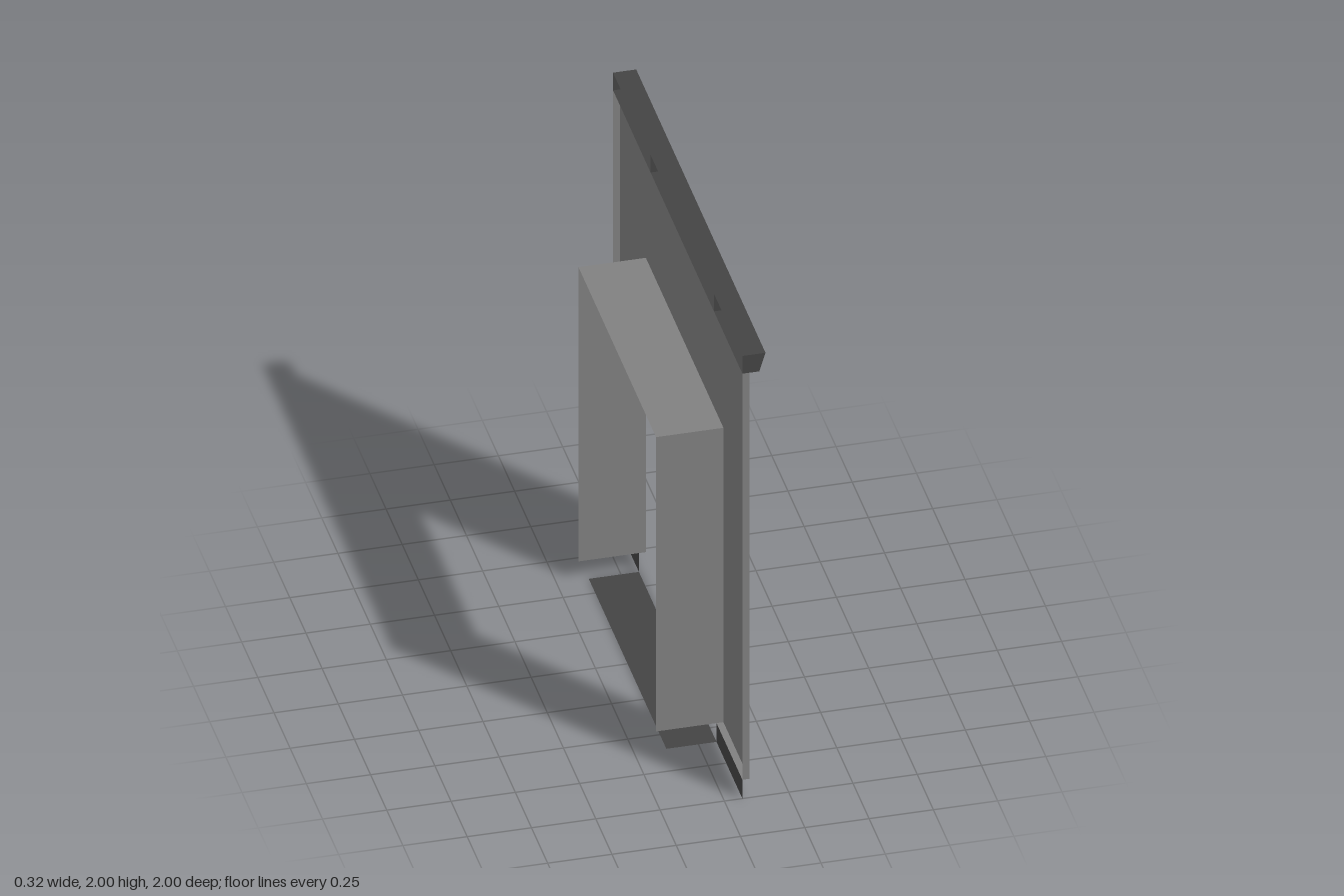
import * as THREE from 'three';

const BACK = 0.07, FACE = 0.097, LIP = 0.16;   // x of shell back, wall face, cornice tip
const REAR = -0.165;                           // x of the reveal's rear edge
const FOOT = 0.085, HEAD = 1.415, CAP = 1.92;  // heights
const HALF = 1, JAMB = 0.6;                    // half widths along z

// Sweeps an open path of [x, y] points along z as a thin sheet.
function sweep(path, z0, z1) {
  const pos = [];
  for (let i = 0; i < path.length - 1; i++) {
    const [ax, ay] = path[i], [bx, by] = path[i + 1];
    pos.push(ax, ay, z0, bx, by, z0, bx, by, z1, ax, ay, z0, bx, by, z1, ax, ay, z1);
  }
  const geo = new THREE.BufferGeometry();
  geo.setAttribute('position', new THREE.Float32BufferAttribute(pos, 3));
  geo.computeVertexNormals();
  return geo;
}

// Sweeps a path of [z, y] points along x.
const sweepX = (path, x0, x1) =>
  sweep(path.map(([z, y]) => [-z, y]), x0, x1).rotateY(Math.PI / 2);

const polygon = (points) =>
  new THREE.ShapeGeometry(new THREE.Shape(points.map(([x, y]) => new THREE.Vector2(x, y))));

export function createModel() {
  const wallGrey = new THREE.MeshStandardMaterial({ color: 0x808080, side: THREE.DoubleSide });
  wallGrey.name = 'wall grey';
  const trimDark = new THREE.MeshStandardMaterial({ color: 0x444444, side: THREE.DoubleSide });
  trimDark.name = 'dark trim';

  const model = new THREE.Group();
  model.name = 'doorwayWall';
  const add = (name, geo, mat) => {
    const mesh = new THREE.Mesh(geo, mat);
    mesh.name = name;
    model.add(mesh);
    return mesh;
  };

  // Wall face around the opening
  add('wallFace', polygon([
    [-HALF, FOOT], [-JAMB, FOOT], [-JAMB, HEAD], [JAMB, HEAD],
    [JAMB, FOOT], [HALF, FOOT], [HALF, CAP], [-HALF, CAP],
  ]).rotateY(Math.PI / 2).translate(FACE, 0, 0), wallGrey);

  // Deep lining of the opening
  add('doorReveal', sweepX(
    [[JAMB, FOOT], [JAMB, HEAD], [-JAMB, HEAD], [-JAMB, FOOT]], REAR, FACE), wallGrey);

  // Edge returns and recessed skirting, mirrored on both legs
  for (const s of [1, -1]) {
    add('wallEdge', sweepX(
      [[s * HALF, CAP], [s * HALF, FOOT], [s * JAMB, FOOT]], BACK, FACE), wallGrey);
    add('skirting', sweep([[BACK, 0], [BACK, FOOT]], s * JAMB, s * HALF), trimDark);
  }

  // Threshold plate on the ground
  add('threshold', sweep([[-0.125, 0], [BACK, 0]], -JAMB, JAMB), trimDark);

  // Hollow cornice, open at the back, with end caps and inner ribs
  const section = [[BACK, 2], [LIP, 2], [0.136, CAP], [BACK, CAP]];
  add('cornice', sweep(section, -HALF, HALF), trimDark);
  for (const z of [-HALF, -0.42, 0.56, HALF]) {
    add(Math.abs(z) === HALF ? 'corniceEnd' : 'corniceRib',
      polygon(section).translate(0, 0, z), trimDark);
  }
  return model;
}
